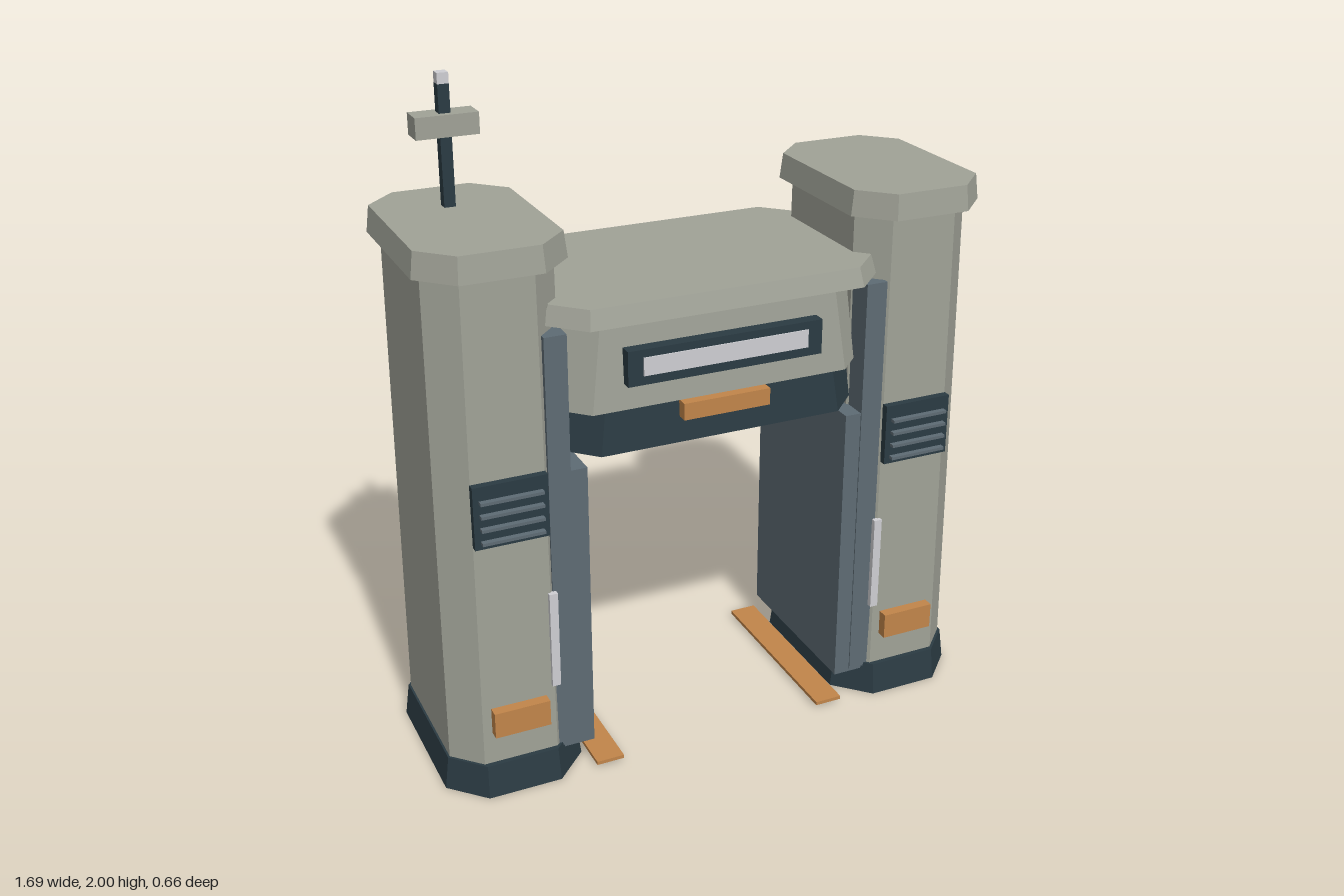
import * as THREE from 'three';
import { ConvexGeometry } from 'three/addons/geometries/ConvexGeometry.js';

const material = (name, color) => {
  const m = new THREE.MeshStandardMaterial({ color });
  m.name = name;
  return m;
};

export function createModel() {
  const concrete = material('warm grey', 0xa0a297);
  const dark = material('dark blue grey', 0x2b3b43);
  const slate = material('slate', 0x5e6b74);
  const orange = material('orange', 0xc2854a);
  const light = material('pale grey', 0xcfcfd3);

  const model = new THREE.Group();
  model.name = 'gate';

  // Box given by its limits on each axis
  const box = (parent, name, mat, [x0, x1], [y0, y1], [z0, z1]) => {
    const mesh = new THREE.Mesh(new THREE.BoxGeometry(x1 - x0, y1 - y0, z1 - z0), mat);
    mesh.position.set((x0 + x1) / 2, (y0 + y1) / 2, (z0 + z1) / 2);
    mesh.name = name;
    parent.add(mesh);
  };

  // Tapered block with cut corners; each end is [y, halfX, halfZ, cut]
  const block = (parent, name, mat, ...ends) => {
    const points = [];
    for (const [y, hx, hz, cut] of ends)
      for (const sx of [-1, 1])
        for (const sz of [-1, 1])
          points.push(
            new THREE.Vector3(sx * hx, y, sz * (hz - cut)),
            new THREE.Vector3(sx * (hx - cut), y, sz * hz));
    const mesh = new THREE.Mesh(new ConvexGeometry(points), mat);
    mesh.name = name;
    parent.add(mesh);
  };

  for (const side of [-1, 1]) {
    // Tower
    const tower = new THREE.Group();
    tower.name = side < 0 ? 'rightTower' : 'leftTower';
    tower.position.x = side * 0.635;
    model.add(tower);
    block(tower, 'towerBase', dark, [0, 0.21, 0.308, 0.1], [0.1, 0.197, 0.295, 0.09]);
    block(tower, 'towerBody', concrete, [0.1, 0.191, 0.28, 0.08], [1.56, 0.182, 0.265, 0.08]);
    block(tower, 'towerCap', concrete, [1.56, 0.211, 0.31, 0.095], [1.635, 0.202, 0.302, 0.09]);

    // Front vent and plaque
    box(tower, 'vent', dark, [-0.107, 0.107], [0.8, 0.987], [0.25, 0.293]);
    for (let i = 0; i < 4; i++)
      box(tower, 'ventSlat', slate, [-0.09, 0.09], [0.817 + i * 0.04, 0.826 + i * 0.04], [0.28, 0.31]);
    box(tower, 'frontPlaque', orange, [-0.083, 0.083], [0.2, 0.28], [0.265, 0.31]);

    // Inner jamb, door leaf, lamps and floor strip
    const span = (a, b) => (side > 0 ? [a, b] : [-b, -a]);
    box(model, 'jamb', slate, span(0.455, 0.52), [0.09, 1.37], [-0.272, 0.272]);
    box(model, 'doorLeaf', slate, span(0.405, 0.5), [0.08, 0.97], [-0.268, 0.268]);
    for (const z of [[0.25, 0.288], [-0.288, -0.25]])
      box(model, 'jambLamp', light, span(0.51, 0.535), [0.31, 0.61], z);
    box(model, 'floorStrip', orange, span(0.325, 0.41), [0.008, 0.019], [-0.3, 0.3]);
  }

  // Overhead beam
  const beam = new THREE.Group();
  beam.name = 'beam';
  model.add(beam);
  block(beam, 'beamUnderside', dark, [1.0, 0.46, 0.283, 0.092], [1.125, 0.442, 0.272, 0.09]);
  block(beam, 'beamBody', concrete, [1.125, 0.455, 0.278, 0.066], [1.388, 0.435, 0.258, 0.08]);
  block(beam, 'beamCap', concrete, [1.388, 0.51, 0.328, 0.1], [1.443, 0.488, 0.312, 0.085]);

  // Sign panels on both faces of the beam
  for (const facing of [1, -1]) {
    const depth = (a, b) => (facing > 0 ? [a, b] : [-b, -a]);
    box(beam, 'signFrame', dark, [-0.295, 0.295], [1.2, 1.303], depth(0.25, 0.302));
    box(beam, 'signPanel', light, [-0.25, 0.25], [1.227, 1.28], depth(0.3, 0.306));
    box(beam, 'beamPlaque', orange, [-0.132, 0.132], [1.075, 1.125], depth(0.26, 0.308));
  }

  // Mast on one tower
  const mast = new THREE.Group();
  mast.name = 'mast';
  mast.position.set(-0.64, 0, -0.117);
  model.add(mast);
  box(mast, 'mastPole', dark, [-0.016, 0.016], [1.63, 1.97], [-0.016, 0.016]);
  box(mast, 'mastTip', light, [-0.016, 0.016], [1.97, 2.0], [-0.016, 0.016]);
  box(mast, 'mastCrossbar', concrete, [-0.088, 0.088], [1.832, 1.892], [-0.036, 0.036]);

  return model;
}
